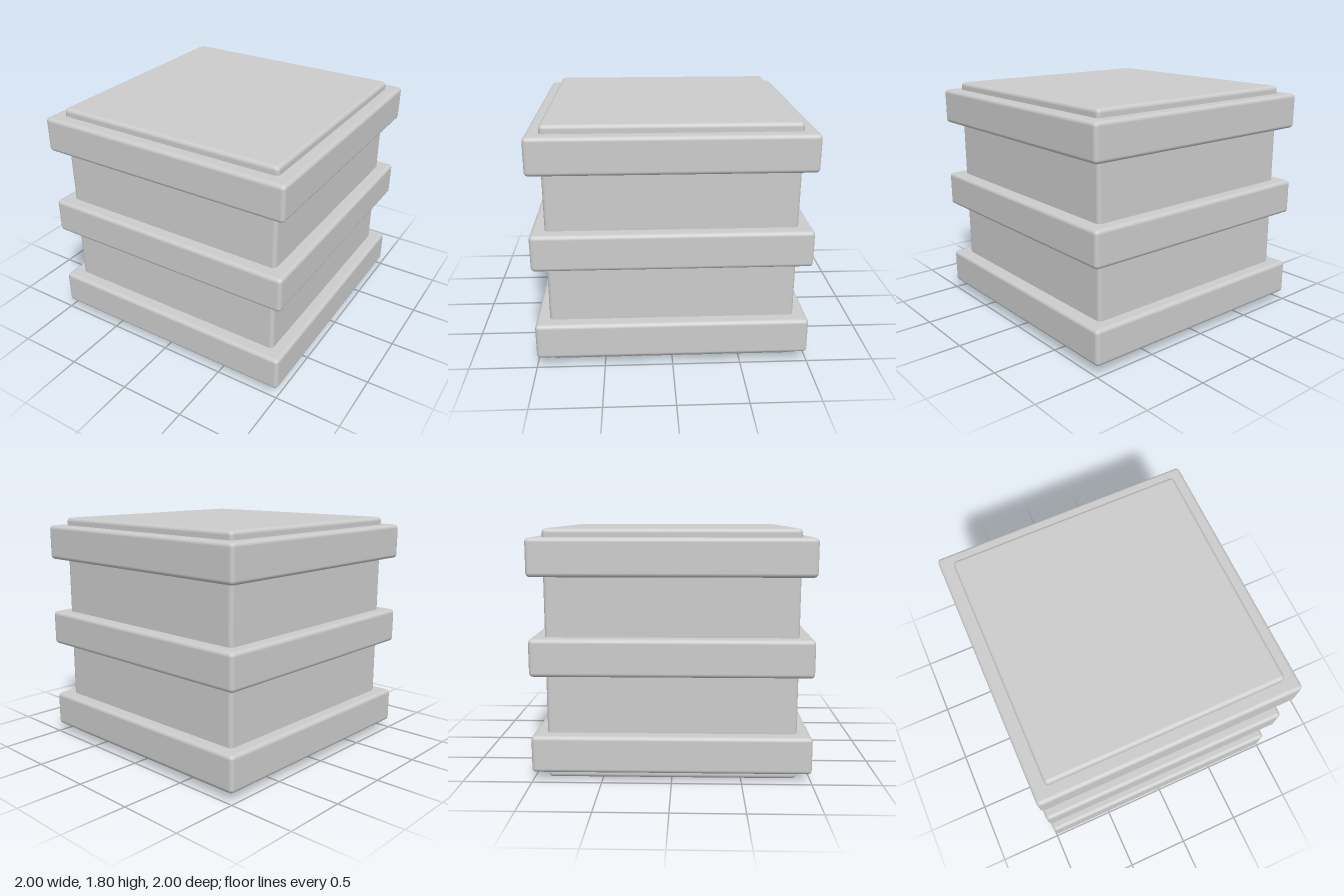
import * as THREE from 'three';
import { RoundedBoxGeometry } from 'three/addons/geometries/RoundedBoxGeometry.js';

export function createModel() {
  const group = new THREE.Group();
  const material = new THREE.MeshStandardMaterial({ color: 0xcccccc });

  // Square block with softly rounded edges, centred on the vertical axis
  const addBlock = (name, width, height, y) => {
    const mesh = new THREE.Mesh(new RoundedBoxGeometry(width, height, width, 3, 0.03), material);
    mesh.name = name;
    mesh.position.y = y;
    group.add(mesh);
  };

  // Crate core
  addBlock('body', 1.8, 1.8, 0.9);

  // Three evenly spaced bands wrapping the core
  const bands = ['lowerBand', 'middleBand', 'upperBand'];
  bands.forEach((name, i) => addBlock(name, 2, 0.27, 0.205 + i * 0.7));

  return group;
}
